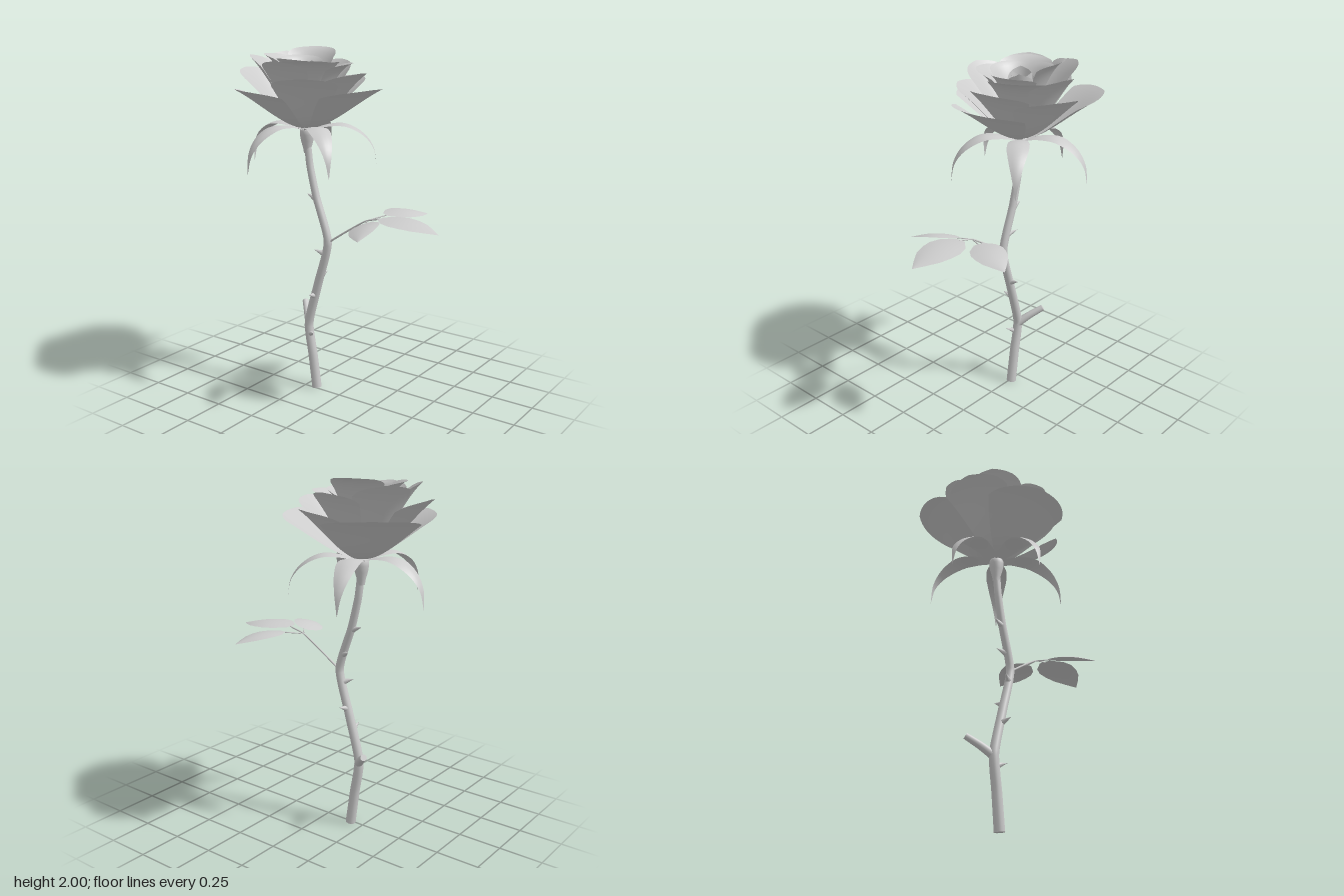
import * as THREE from 'three';

const CX = 0.012, CZ = -0.23; // flower axis
const V = (x, y, z) => new THREE.Vector3(x, y, z);
const solid = new THREE.MeshStandardMaterial({ color: 0xcccccc });
const thin = new THREE.MeshStandardMaterial({ color: 0xcccccc, side: THREE.DoubleSide });

function add(parent, name, geometry, material) {
  const mesh = new THREE.Mesh(geometry, material);
  mesh.name = name;
  parent.add(mesh);
  return mesh;
}

// Smooth sheet: u runs -1..1 across, v runs 0..1 along
function sheet(nu, nv, fn) {
  const pos = [], idx = [];
  for (let j = 0; j <= nv; j++) {
    for (let i = 0; i <= nu; i++) {
      pos.push(...fn(-1 + 2 * i / nu, j / nv).toArray());
      if (i < nu && j < nv) {
        const a = j * (nu + 1) + i, b = a + nu + 1;
        idx.push(a, a + 1, b, a + 1, b + 1, b);
      }
    }
  }
  const g = new THREE.BufferGeometry();
  g.setAttribute('position', new THREE.Float32BufferAttribute(pos, 3));
  g.setIndex(idx);
  g.computeVertexNormals();
  return g;
}

// Tapered tube with flat ends
function branch(parent, name, points, r0, r1, seg = 32, sides = 12) {
  const curve = new THREE.CatmullRomCurve3(points, false, 'catmullrom', 0.3);
  const g = new THREE.TubeGeometry(curve, seg, 1, sides, false);
  const p = g.attributes.position, v = V();
  for (let i = 0; i < p.count; i++) {
    const t = Math.floor(i / (sides + 1)) / seg, c = curve.getPointAt(t);
    v.fromBufferAttribute(p, i).sub(c).multiplyScalar(r0 + (r1 - r0) * t).add(c);
    p.setXYZ(i, v.x, v.y, v.z);
  }
  add(parent, name, g, solid);
  for (const t of [0, 1]) {
    const cap = add(parent, name + 'End', new THREE.CircleGeometry(t ? r1 : r0, sides), solid);
    cap.position.copy(curve.getPointAt(t));
    cap.quaternion.setFromUnitVectors(V(0, 0, 1), curve.getTangentAt(t).multiplyScalar(t ? 1 : -1));
  }
  return curve;
}

// Petal: sector of a bowl with a softly pointed rim.
// spread shapes the radius, flare flattens the rim outward
function petal(spread, flare, a, R, top, w) {
  const base = 1.56;
  return sheet(16, 14, (u, v) => {
    const t = v * (1 - 0.08 * Math.abs(u) - 0.1 * u ** 4);
    const ang = a + u * w * (1 - 0.08 * v * v);
    const r = 0.012 + (R - 0.012) * t ** spread * (1 + 0.05 * u);
    const y = base + (top - base) * t ** 1.4 * (flare - (flare - 1) * t);
    return V(CX + Math.sin(ang) * r, y, CZ + Math.cos(ang) * r);
  });
}

// Value at t along evenly spaced samples
function sample(list, t) {
  const f = Math.min(t * (list.length - 1), list.length - 1.0001), i = Math.floor(f);
  return list[i] + (list[i + 1] - list[i]) * (f - i);
}

// Leaf: arched blade with a folded midrib, rolled about its length
function leaf(from, to, half, roll) {
  const dir = V().subVectors(to, from);
  const side = V(dir.z, 0, -dir.x).normalize();
  const width = [0.3, 0.82, 1, 0.95, 0.78, 0.42, 0];
  return sheet(8, 18, (u, v) => {
    const w = half * sample(width, v) * u;
    const p = from.clone().addScaledVector(dir, v).addScaledVector(side, w);
    p.y += 0.022 * Math.sin(Math.PI * v) - 0.012 * u * u * Math.sin(Math.PI * v) + w * roll;
    return p;
  });
}

export function createModel() {
  const model = new THREE.Group();

  // Stem with a cut side shoot
  const stem = branch(model, 'stem', [
    V(CX, 0, -0.173), V(CX, 0.2, -0.2), V(CX, 0.4, -0.228), V(CX, 0.66, -0.158), V(CX, 0.92, -0.088),
    V(CX, 1.17, -0.168), V(CX, 1.35, -0.212), V(CX, 1.5, CZ)], 0.029, 0.02, 60);
  branch(model, 'sideShoot', [V(CX, 0.385, -0.225), V(0.06, 0.435, -0.275), V(0.118, 0.485, -0.335)], 0.025, 0.018, 8);

  // Thorns: height on stem, then outward direction
  const thorns = new THREE.Group();
  thorns.name = 'thorns';
  model.add(thorns);
  for (const [y, dx, dz] of [[0.33, -0.6, 0.8], [0.58, -1, 0.1], [0.7, 1, 0.1],
    [0.84, -0.4, -0.9], [1.01, 0.5, -0.85], [1.16, 0, -1]]) {
    let c = stem.getPoint(0);
    for (let t = 0; t <= 1; t += 0.005) {
      const q = stem.getPoint(t);
      if (Math.abs(q.y - y) < Math.abs(c.y - y)) c = q;
    }
    const d = V(dx, 0.35, dz).normalize();
    const thorn = add(thorns, 'thorn', new THREE.ConeGeometry(0.018, 0.06, 8), solid);
    thorn.position.copy(c).addScaledVector(d, 0.045);
    thorn.quaternion.setFromUnitVectors(V(0, 1, 0), d);
  }

  // Swollen hip under the flower
  const hip = [[0.019, 1.42], [0.024, 1.45], [0.035, 1.49], [0.041, 1.525], [0.04, 1.545], [0.033, 1.565], [0, 1.57]];
  add(model, 'hip', new THREE.LatheGeometry(hip.map(p => new THREE.Vector2(...p)), 20), solid)
    .position.set(CX, 0, CZ);

  // Five arching sepals
  const arch = new THREE.CatmullRomCurve3([[0.02, 1.55], [0.12, 1.582], [0.22, 1.585], [0.32, 1.53],
    [0.375, 1.45], [0.393, 1.34]].map(([r, y]) => V(0, y, r)));
  const sepalWidth = [0.025, 0.045, 0.06, 0.06, 0.046, 0.028, 0.012, 0.001];
  for (let i = 0; i < 5; i++) {
    const g = sheet(4, 20, (u, v) => {
      const p = arch.getPointAt(v);
      p.x = u * sample(sepalWidth, v);
      p.y -= 0.012 * u * u * Math.sin(Math.PI * v);
      return p;
    });
    const sepal = add(model, 'sepal', g, thin);
    sepal.position.set(CX, 0, CZ);
    sepal.rotation.y = Math.PI + i * Math.PI * 2 / 5;
  }

  // Petal layers; each petal is direction, radius, rim height, half angle
  const flower = new THREE.Group();
  flower.name = 'flower';
  model.add(flower);
  const layers = [
    { name: 'outerPetal', spread: 0.8, flare: 1.7, petals: [
      [0, 0.435, 1.795, 0.8], [-1.95, 0.43, 1.795, 0.76], [2.3, 0.45, 1.82, 0.76],
      [-2.95, 0.38, 1.89, 0.65], [1.2, 0.36, 1.84, 0.7], [-1.0, 0.35, 1.86, 0.7]] },
    { name: 'middlePetal', spread: 0.85, flare: 1.8, petals: [
      [0.1, 0.34, 1.875, 0.78], [-1.5, 0.31, 1.945, 0.65], [1.5, 0.3, 1.93, 0.7],
      [2.6, 0.32, 1.97, 0.65], [-2.6, 0.31, 1.965, 0.65]] },
    { name: 'innerPetal', spread: 1.1, flare: 2.2, petals: [
      [0.5, 0.26, 1.92, 0.95], [-1.0, 0.245, 1.945, 0.95], [1.95, 0.235, 2.0, 0.9], [-2.7, 0.235, 1.97, 1],
      [0, 0.19, 1.93, 1.3], [2.6, 0.18, 1.955, 1.2], [-1.8, 0.18, 1.95, 1.2]] },
    { name: 'budPetal', spread: 0.45, flare: 1, petals: [
      [0.6, 0.085, 1.93, 1.6], [-2.4, 0.08, 1.94, 1.6], [1.7, 0.06, 1.93, 1.6],
      [-1.3, 0.055, 1.925, 1.6], [0.3, 0.033, 1.92, 2.4]] }];
  for (const { name, spread, flare, petals } of layers)
    for (const p of petals) add(flower, name, petal(spread, flare, ...p), thin);

  // Compound leaf: stalk, two side leaflets and an end leaflet
  const spray = new THREE.Group();
  spray.name = 'leafSpray';
  model.add(spray);
  const fork = V(CX, 1.08, 0.17);
  branch(spray, 'leafStalk', [V(CX, 0.92, -0.08), V(CX, 1.0, 0.04), fork, V(CX, 1.106, 0.27)], 0.006, 0.004, 16, 8);
  for (const [from, to, half, roll] of [
    [V(CX, 1.108, 0.265), V(CX, 1.07, 0.625), 0.113, 0],
    [V(0.115, 1.105, 0.235), V(0.393, 1.072, 0.345), 0.093, 0.08],
    [V(-0.045, 1.09, 0.22), V(-0.302, 1.055, 0.328), 0.082, 0.3]]) {
    add(spray, 'leaf', leaf(from, to, half, roll), thin);
    if (from.x !== CX) branch(spray, 'leafletStalk', [fork, from.clone().lerp(to, 0.05)], 0.004, 0.003, 6, 6);
  }
  return model;
}
